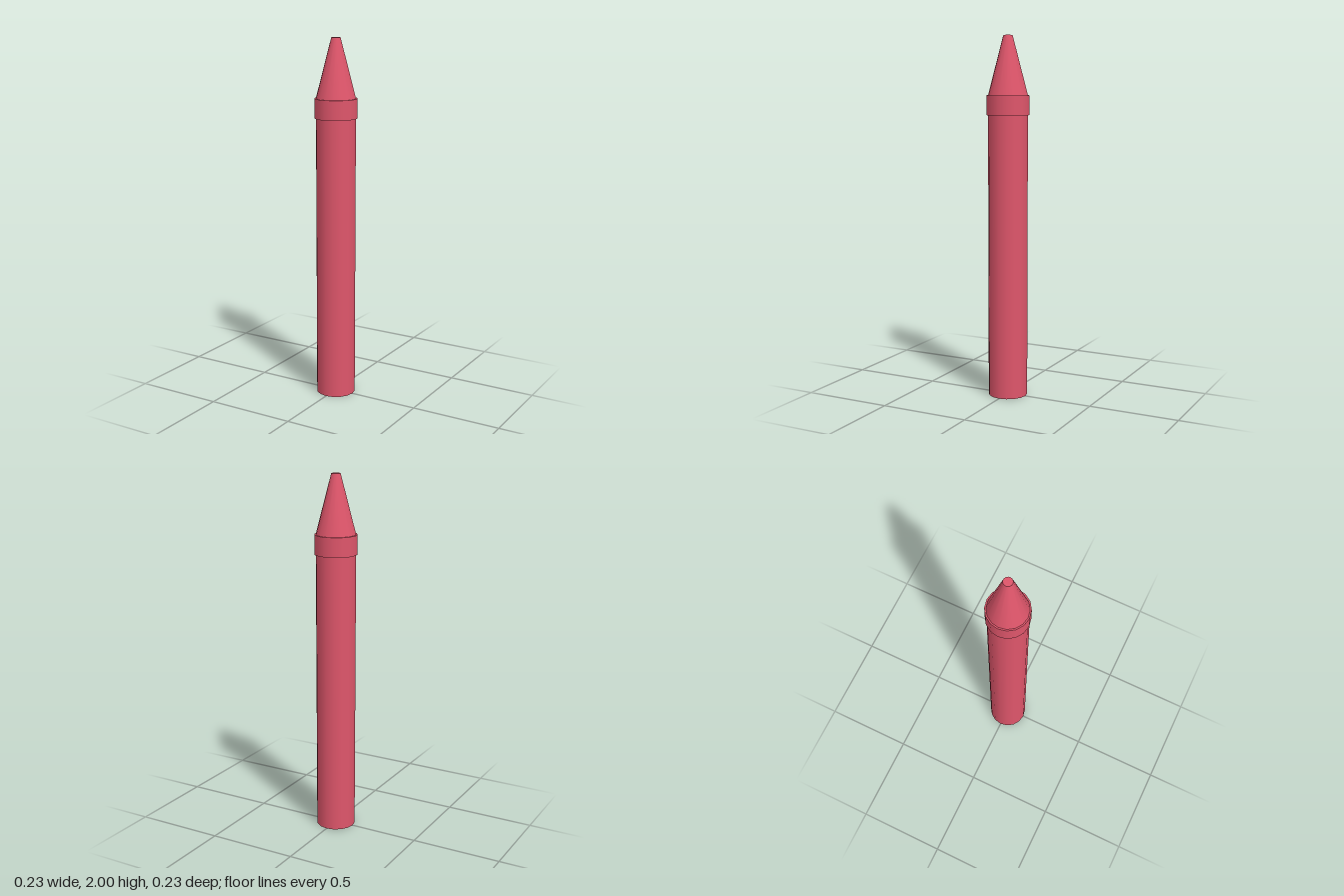
import * as THREE from 'three';

export function createModel() {
  const group = new THREE.Group();
  group.name = 'crayon';
  const wax = new THREE.MeshStandardMaterial({ color: 0xdf566b });

  // Capped round section between two heights
  function addSection(name, topRadius, bottomRadius, y0, y1) {
    const geometry = new THREE.CylinderGeometry(topRadius, bottomRadius, y1 - y0, 16);
    geometry.translate(0, (y0 + y1) / 2, 0);
    const mesh = new THREE.Mesh(geometry, wax);
    mesh.name = name;
    group.add(mesh);
  }

  addSection('barrel', 0.109, 0.109, 0, 1.57);
  addSection('collar', 0.117, 0.117, 1.57, 1.677);
  addSection('tip', 0.025, 0.109, 1.677, 2);

  return group;
}
